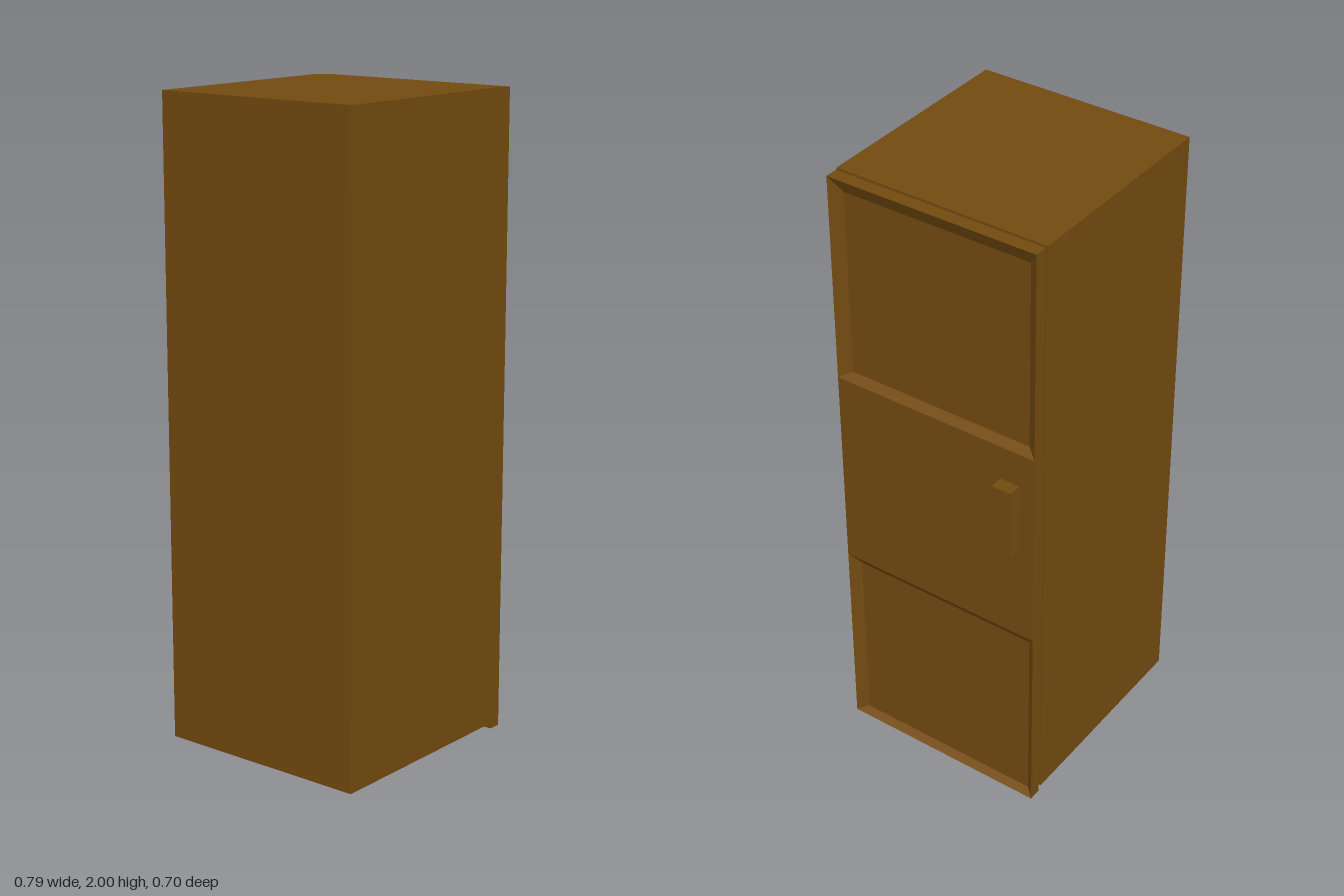
import * as THREE from 'three';

// Rectangle facing +x at depth x, counter-clockwise seen from +x
const rect = (x, y0, y1, z0, z1) => [[x, y0, z1], [x, y0, z0], [x, y1, z0], [x, y1, z1]];

// Flat-sided solid through a run of rectangles, capped at both ends
function loft(sections) {
  const pos = [];
  const quad = (a, b, c, d) => pos.push(...a, ...b, ...c, ...a, ...c, ...d);
  for (let s = 0; s < sections.length - 1; s++) {
    const a = sections[s], b = sections[s + 1];
    for (let i = 0; i < 4; i++) {
      const j = (i + 1) % 4;
      quad(a[i], a[j], b[j], b[i]);
    }
  }
  quad(...[...sections[0]].reverse());
  quad(...sections[sections.length - 1]);
  const geo = new THREE.BufferGeometry();
  geo.setAttribute('position', new THREE.Float32BufferAttribute(pos, 3));
  geo.computeVertexNormals();
  return geo;
}

export function createModel() {
  const model = new THREE.Group();
  model.name = 'cabinet';
  const wood = new THREE.MeshStandardMaterial({ color: 0x734a10 });

  function add(parent, name, geo) {
    const mesh = new THREE.Mesh(geo, wood);
    mesh.name = name;
    parent.add(mesh);
    return mesh;
  }
  function addBox(parent, name, x0, x1, y0, y1, z0, z1) {
    add(parent, name, new THREE.BoxGeometry(x1 - x0, y1 - y0, z1 - z0))
      .position.set((x0 + x1) / 2, (y0 + y1) / 2, (z0 + z1) / 2);
  }

  // Cabinet body
  addBox(model, 'body', -0.395, 0.302, 0.02, 2, -0.348, 0.348);

  // Door standing just clear of the body
  const door = new THREE.Group();
  door.name = 'door';
  model.add(door);
  const back = 0.309, front = 0.35, sunk = 0.325, half = 0.345;

  // Sunken panels with bevelled rims, below and above a flush middle
  const panels = [
    { name: 'lowerPanel', y0: 0, y1: 0.663, inner: [0.014, 0.625, -0.316, 0.312] },
    { name: 'middlePanel', y0: 0.663, y1: 1.33 },
    { name: 'upperPanel', y0: 1.33, y1: 1.997, inner: [1.35, 1.948, -0.311, 0.308] },
  ];
  for (const { name, y0, y1, inner } of panels) {
    const sections = [rect(back, y0, y1, -half, half), rect(front, y0, y1, -half, half)];
    if (inner) sections.push(rect(sunk, ...inner));
    add(door, name, loft(sections));
  }

  // Block handle
  addBox(door, 'handle', front, 0.392, 0.99, 1.218, -0.295, -0.23);

  return model;
}
